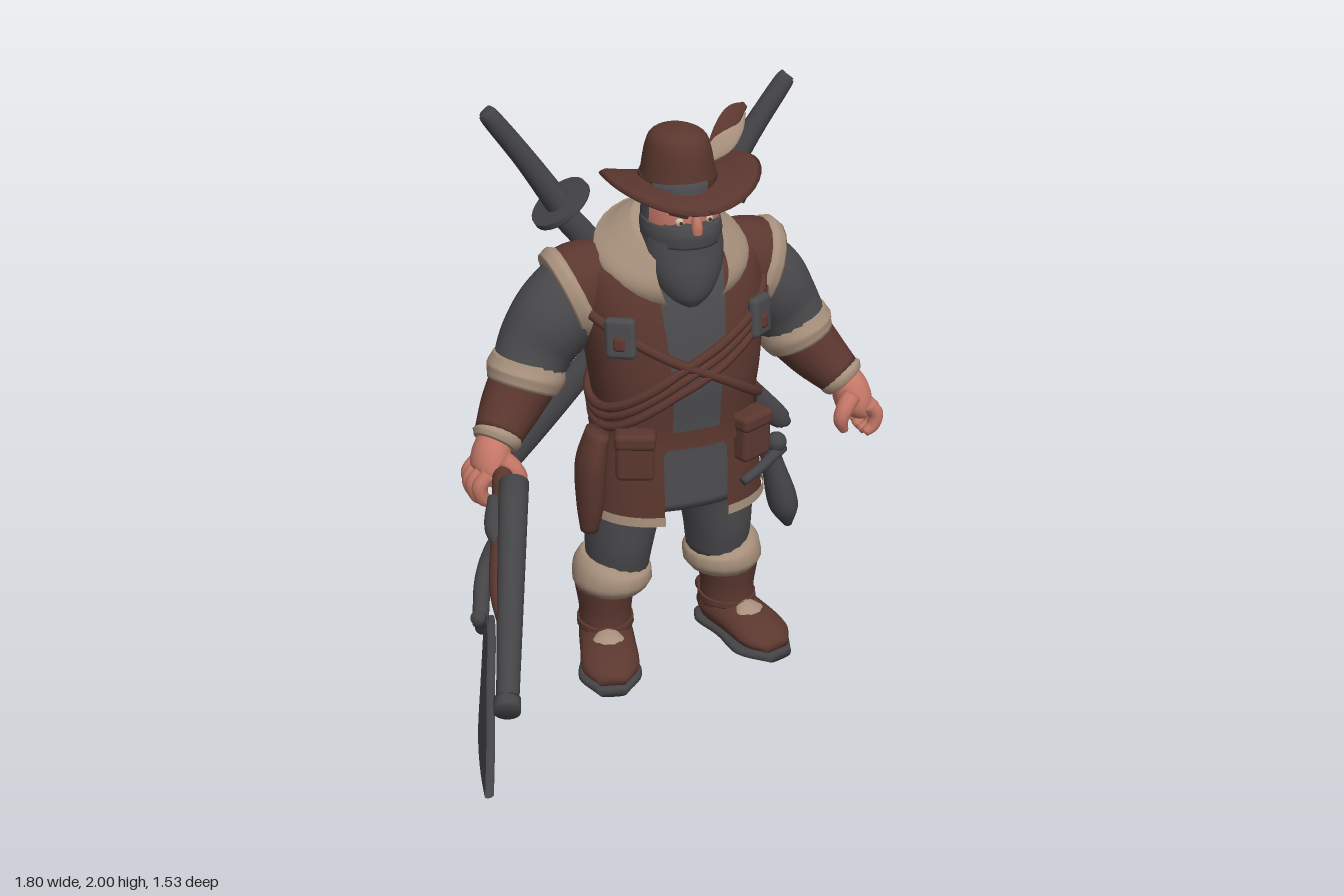
import * as THREE from 'three';
import { mergeVertices } from 'three/addons/utils/BufferGeometryUtils.js';
import { RoundedBoxGeometry } from 'three/addons/geometries/RoundedBoxGeometry.js';

const V = (p) => new THREE.Vector3(...p);
const Y = [0, 1, 0], Z = [0, 0, 1];
const mat = (name, color) => Object.assign(new THREE.MeshStandardMaterial({ color, side: THREE.DoubleSide }), { name });

// Sweeps an ellipse along points; each radius is a number or [across, along ref].
// arc(point, across) gives the start and end angle for open shells, angle 0 facing ref.
function sweep(points, radii, { ref = Z, seg = 18, steps = 5, cap = true, pow = 1, arc = null } = {}) {
  const path = new THREE.CatmullRomCurve3(points.map(V), false, 'catmullrom');
  const size = new THREE.CatmullRomCurve3(radii.map((r) => (r.length ? V([r[0], r[1], 0]) : V([r, r, 0]))), false, 'catmullrom');
  const n = (points.length - 1) * steps, ts = [];
  for (let i = 0; i <= n; i++) ts.push([i / n, 1]);
  if (cap) { ts.unshift([0, 0]); ts.push([1, 0]); }
  const bend = (v) => Math.sign(v) * Math.abs(v) ** pow;
  const pos = [], index = [];
  ts.forEach(([t, k], i) => {
    const c = path.getPoint(t), r = size.getPoint(t), T = path.getTangent(t);
    const side = T.clone().cross(V(ref)).normalize(), up = side.clone().cross(T);
    const [f0, f1] = arc ? arc(c, r.x) : [0, Math.PI * 2];
    for (let j = 0; j <= seg; j++) {
      const f = f0 + (f1 - f0) * j / seg;
      const p = c.clone().addScaledVector(side, k * r.x * bend(Math.sin(f))).addScaledVector(up, k * r.y * bend(Math.cos(f)));
      pos.push(p.x, p.y, p.z);
      if (i && j) {
        const d = i * (seg + 1) + j - 1, a = d - seg - 1;
        index.push(a, a + 1, d + 1, a, d + 1, d);
      }
    }
  });
  let g = new THREE.BufferGeometry();
  g.setAttribute('position', new THREE.Float32BufferAttribute(pos, 3));
  g.setIndex(index);
  g = mergeVertices(g, 1e-5);
  g.computeVertexNormals();
  return g;
}

// Torso cross-sections: height, centre z, half width, half depth
const TORSO = [[0.64, -0.325, 0.315, 0.238], [0.8, -0.32, 0.3, 0.227], [0.97, -0.31, 0.275, 0.21], [1.15, -0.31, 0.295, 0.225],
  [1.35, -0.33, 0.315, 0.215], [1.49, -0.36, 0.3, 0.185], [1.56, -0.36, 0.24, 0.16], [1.62, -0.36, 0.15, 0.12]];
const POW = 0.85;
function torsoAt(y) {
  let i = 0;
  while (i < TORSO.length - 2 && y > TORSO[i + 1][0]) i++;
  const [a, b] = [TORSO[i], TORSO[i + 1]], k = (y - a[0]) / (b[0] - a[0]);
  return a.map((v, j) => v + (b[j] - v) * k);
}
const shell = (ys, grow, opts) => sweep(ys.map((y) => [0, y, torsoAt(y)[1]]),
  ys.map((y) => [torsoAt(y)[2] + grow, torsoAt(y)[3] + grow]), { seg: 40, cap: false, pow: POW, ...opts });
function onTorso(y, f, grow) {
  const [, zc, rx, rz] = torsoAt(y), s = Math.sin(f), c = Math.cos(f);
  return V([(rx + grow) * Math.sign(s) * Math.abs(s) ** POW, y, zc + (rz + grow) * Math.sign(c) * Math.abs(c) ** POW]);
}
// Half width of the coat's front opening
const opening = (c, rx) => {
  const w = c.y < 0.93 ? 0.115 : c.y < 1.1 ? 0.085 : 0.085 + (c.y - 1.1) * 0.1;
  const f = Math.asin(Math.min(0.9, (w / rx) ** (1 / POW)));
  return [f, Math.PI * 2 - f];
};
// The collar parts in front, wider towards the top
const collarGap = (c) => {
  const f = 0.22 + (c.y - 1.51) * 5;
  return [f, Math.PI * 2 - f];
};

export function createModel() {
  const leather = mat('brown leather', 0x5b372f), dark = mat('dark leather', 0x4d2d26), cloth = mat('grey cloth', 0x4b4a4d);
  const metal = mat('dark metal', 0x444447), fur = mat('tan fur', 0xa7907c), skin = mat('skin', 0xc47767), pale = mat('eye', 0xc9c3a8);
  const model = new THREE.Group(), body = new THREE.Group();
  body.name = 'body';
  body.position.x = 0.135;
  model.add(body);
  const add = (name, geo, m, pos = [0, 0, 0], parent = body) => {
    const mesh = new THREE.Mesh(geo, m);
    mesh.name = name;
    mesh.position.set(...pos);
    parent.add(mesh);
    return mesh;
  };
  const ball = (r) => new THREE.SphereGeometry(r, 16, 12);

  // Coat, shirt, hem and belt
  const heights = TORSO.map((s) => s[0]);
  add('shirt', shell([0.68, ...heights.slice(1)], -0.016, { cap: true }), cloth);
  add('coat', shell(heights, 0, { arc: opening }), leather);
  add('coatHem', shell([0.638, 0.655, 0.672], 0.008, { arc: opening }), fur);
  add('belt', shell([0.925, 0.955, 0.985], 0.01), leather);
  for (const s of [1, -1]) {
    const pouch = add('beltPouch', new RoundedBoxGeometry(0.13, 0.16, 0.08, 3, 0.02), leather, [s * 0.21, 0.9, -0.13]);
    pouch.rotation.y = s * 0.4;
    const flap = add('pouchFlap', new RoundedBoxGeometry(0.14, 0.06, 0.09, 3, 0.02), leather, [s * 0.21, 0.965, -0.128]);
    flap.rotation.y = s * 0.4;
    const badge = add('chestPad', new RoundedBoxGeometry(0.105, 0.14, 0.04, 3, 0.018), cloth, onTorso(1.325, s * 0.8, 0.014).toArray());
    badge.rotation.set(-0.1, s * 0.65, 0);
    add('chestPadStud', new RoundedBoxGeometry(0.04, 0.05, 0.03, 3, 0.012), leather, [0, -0.015, 0.014], badge);
  }
  add('hipHolster', sweep([[-0.31, 0.97, -0.22], [-0.335, 0.85, -0.22], [-0.34, 0.7, -0.22], [-0.345, 0.6, -0.22]],
    [[0.035, 0.06], [0.05, 0.075], [0.045, 0.06], [0.03, 0.035]]), leather);

  // Crossed chest straps and ropes
  for (const [s, dy, r] of [[1, 0.035, 0.017], [1, 0, 0.015], [1, -0.04, 0.015], [-1, 0, 0.018]]) {
    const pts = [];
    for (let i = 0; i < 32; i++) {
      const f = i / 32 * Math.PI * 2;
      pts.push(onTorso(1.195 + dy + s * 0.19 * Math.sin(f), f, 0.008));
    }
    add('chestStrap', new THREE.TubeGeometry(new THREE.CatmullRomCurve3(pts, true), 80, r, 7, true), leather);
  }

  // Fur collar
  add('collar', sweep([[0, 1.515, -0.345], [0, 1.55, -0.325], [0, 1.6, -0.305], [0, 1.64, -0.29]],
    [[0.25, 0.23], [0.262, 0.242], [0.2, 0.21], [0.14, 0.175]], { seg: 30, arc: collarGap }), fur);

  // Masked head and face
  const face = [[0, 1.66, -0.26], [0, 1.71, -0.26], [0, 1.77, -0.265]];
  add('mask', sweep([[0, 1.395, -0.17], [0, 1.43, -0.18], [0, 1.5, -0.2], [0, 1.57, -0.225], [0, 1.64, -0.25], [0, 1.71, -0.27], [0, 1.81, -0.28]],
    [[0.03, 0.035], [0.075, 0.07], [0.118, 0.1], [0.135, 0.122], [0.13, 0.147], [0.122, 0.14], [0.11, 0.13]], { seg: 24 }), cloth);
  add('maskBridge', sweep([[0, 1.62, -0.25], [0, 1.66, -0.25], [0, 1.692, -0.25]], [[0.131, 0.148], [0.133, 0.154], [0.128, 0.148]]), cloth);
  add('face', sweep(face, [[0.126, 0.142], [0.126, 0.142], [0.12, 0.14]], { cap: false, arc: () => [-1.3, 1.3] }), skin);
  add('nose', sweep([[0, 1.74, -0.12], [0, 1.7, -0.11], [0, 1.67, -0.112]], [0.012, 0.018, 0.02], { seg: 10 }), skin);
  for (const s of [1, -1]) {
    add('eye', ball(0.015), pale, [s * 0.05, 1.71, -0.136]);
    add('pupil', ball(0.006), dark, [s * 0.05, 1.71, -0.122]);
    add('eyebrow', new RoundedBoxGeometry(0.065, 0.014, 0.02, 2, 0.006), dark, [s * 0.055, 1.738, -0.13]).rotation.set(0, s * 0.35, s * 0.25);
  }

  // Hat with curled brim, band and feather
  const brim = new THREE.LatheGeometry([[0.1, 0], [0.18, -0.002], [0.25, 0], [0.266, 0.012], [0.25, 0.024], [0.18, 0.022], [0.1, 0.026]]
    .map((p) => new THREE.Vector2(...p)), 40);
  const bp = brim.attributes.position;
  for (let i = 0; i < bp.count; i++) {
    const x = bp.getX(i), z = bp.getZ(i);
    bp.setXYZ(i, x, bp.getY(i) + 0.65 * x * x - (z > 0 ? 0.4 : 0.8) * z * z, z * 0.94);
  }
  brim.computeVertexNormals();
  add('hatBrim', brim, leather, [0.015, 1.776, -0.29]);
  add('hatCrown', sweep([[0.01, 1.77, -0.3], [0.01, 1.83, -0.3], [0.01, 1.91, -0.3], [0.01, 1.95, -0.3], [0.01, 1.972, -0.3]],
    [[0.13, 0.14], [0.12, 0.133], [0.105, 0.122], [0.085, 0.1], [0.035, 0.05]], { seg: 28 }), leather);
  add('hatBand', sweep([[0.01, 1.795, -0.3], [0.01, 1.82, -0.3]], [[0.131, 0.143], [0.126, 0.138]], { seg: 28 }), dark);
  const tilt = { ref: [0, 0.6, 1] };
  add('featherTop', sweep([[0.1, 1.85, -0.275], [0.16, 1.93, -0.295], [0.215, 1.975, -0.325], [0.275, 1.985, -0.37]],
    [[0.01, 0.005], [0.03, 0.006], [0.032, 0.006], [0.012, 0.004]], tilt), leather);
  add('featherBase', sweep([[0.1, 1.855, -0.272], [0.16, 1.9, -0.28], [0.215, 1.94, -0.305], [0.265, 1.965, -0.35]],
    [[0.018, 0.008], [0.038, 0.009], [0.03, 0.009], [0.006, 0.006]], tilt), fur);

  // Arms and hands
  for (const s of [1, -1]) {
    const P = (list) => list.map(([x, y, z]) => [s * x, y, z]);
    const part = (name, pts, radii, m, opts) => add(name, sweep(P(pts), radii, opts), m);
    part('shoulderCap', [[0.16, 1.43, -0.39], [0.27, 1.43, -0.395], [0.34, 1.395, -0.4]], [0.12, [0.152, 0.138], [0.166, 0.142]], leather);
    part('shoulderTrim', [[0.31, 1.41, -0.4], [0.33, 1.402, -0.4], [0.365, 1.388, -0.4]], [[0.162, 0.142], [0.176, 0.153], [0.164, 0.143]], fur);
    part('sleeve', [[0.3, 1.42, -0.4], [0.38, 1.33, -0.41], [0.44, 1.24, -0.42], [0.49, 1.15, -0.405]], [0.14, 0.144, 0.134, 0.12], cloth);
    part('elbowCuff', [[0.478, 1.19, -0.41], [0.493, 1.14, -0.405], [0.512, 1.095, -0.395]], [0.122, 0.136, 0.122], fur);
    part('bracer', [[0.5, 1.12, -0.4], [0.565, 1.04, -0.365], [0.632, 0.965, -0.31]], [0.115, 0.102, 0.08], leather);
    part('wristTrim', [[0.622, 0.98, -0.32], [0.632, 0.966, -0.31], [0.645, 0.95, -0.3]], [0.074, 0.086, 0.074], fur);
    part('palm', [[0.64, 0.97, -0.31], [0.66, 0.92, -0.29], [0.672, 0.87, -0.28], [0.69, 0.83, -0.275]],
      [[0.055, 0.055], [0.065, 0.075], [0.062, 0.08], [0.03, 0.065]], skin);
    for (let i = 0; i < 4; i++) {
      const z = -0.335 + i * 0.04, d = i % 3 ? 0.008 : 0;
      part('finger', [[0.695, 0.885, z], [0.726 + d, 0.845, z], [0.718 + d, 0.8 - d, z], [0.685, 0.775 - d, z]], [0.026, 0.027, 0.024, 0.017], skin, { seg: 10 });
    }
    part('thumb', [[0.64, 0.92, -0.235], [0.605, 0.885, -0.215], [0.59, 0.845, -0.21], [0.605, 0.8, -0.215]], [0.035, 0.032, 0.027, 0.016], skin, { seg: 10 });

    // Trousers, boots and feet
    part('trouserLeg', [[0.19, 0.37, -0.37], [0.185, 0.48, -0.36], [0.17, 0.62, -0.35], [0.145, 0.76, -0.33], [0.13, 0.9, -0.32]],
      [[0.11, 0.125], [0.12, 0.142], [0.133, 0.147], [0.125, 0.15], [0.1, 0.13]], cloth);
    part('bootCuff', [[0.21, 0.275, -0.365], [0.21, 0.31, -0.367], [0.21, 0.36, -0.37], [0.205, 0.4, -0.37]],
      [[0.115, 0.125], [0.14, 0.15], [0.135, 0.15], [0.11, 0.125]], fur);
    const foot = new THREE.Group();
    foot.name = 'boot';
    foot.position.set(s * 0.235, 0, -0.375);
    foot.rotation.y = s * 0.27;
    body.add(foot);
    const shoe = (name, pts, radii, m, opts) => add(name, sweep(pts, radii, opts), m, [0, 0, 0], foot);
    shoe('bootShaft', [[0, 0.07, 0], [0, 0.14, 0], [0, 0.2, 0], [0, 0.3, 0]], [[0.09, 0.1], [0.093, 0.105], [0.095, 0.105], [0.11, 0.12]], leather);
    shoe('bootFoot', [[0, 0.085, -0.1], [0, 0.085, -0.03], [0, 0.08, 0.1], [0, 0.064, 0.22], [0, 0.048, 0.295]],
      [[0.06, 0.05], [0.092, 0.07], [0.1, 0.062], [0.1, 0.046], [0.05, 0.022]], leather, { ref: Y });
    shoe('sole', [[0, 0.018, -0.115], [0, 0.018, -0.06], [0, 0.018, 0.06], [0, 0.018, 0.2], [0, 0.018, 0.31]],
      [[0.06, 0.018], [0.09, 0.018], [0.09, 0.018], [0.112, 0.018], [0.05, 0.018]], metal, { ref: Y, pow: 0.6 });
    shoe('instepPatch', [[0, 0.115, 0.09], [0, 0.1, 0.13], [0, 0.083, 0.17]], [[0.045, 0.04], [0.068, 0.045], [0.045, 0.038]], fur, { ref: Y });
    shoe('ankleStrap', [[0, 0.125, 0], [0, 0.15, 0]], [[0.102, 0.113], [0.101, 0.112]], leather);
    add('heelSpur', ball(0.032), leather, [0, 0.11, -0.135], foot);
  }

  // Two crossed sheathed swords on the back
  for (const s of [1, -1]) {
    const z = s > 0 ? -0.6 : -0.62;
    const at = (x, y) => [s * x, y, z];
    add('scabbard', sweep([at(0.29, 1.61), at(0.15, 1.44), at(0, 1.265), at(-0.26, 0.97), at(-0.52, 0.695), at(-0.575, 0.645)],
      [[0.045, 0.035], [0.048, 0.034], [0.048, 0.032], [0.05, 0.03], [0.044, 0.028], [0.018, 0.02]]), metal);
    add('swordGrip', sweep([at(0.27, 1.6), at(0.4, 1.8), at(0.515, 1.96), at(0.535, 1.985)], [0.047, 0.038, 0.033, 0.022]), metal);
    add('swordGuard', sweep([at(0.277, 1.622), at(0.29, 1.64)], [0.112, 0.11], { seg: 28 }), metal);
  }
  add('swordKnot', ball(0.06), metal, [0, 1.25, -0.61]);

  // Hip knife
  add('knifeSheath', sweep([[0.3, 0.83, -0.2], [0.33, 0.72, -0.2], [0.37, 0.57, -0.2], [0.39, 0.48, -0.2]],
    [[0.03, 0.03], [0.04, 0.045], [0.052, 0.06], [0.015, 0.02]]), metal);
  add('knifeGuard', sweep([[0.16, 0.755, -0.075], [0.24, 0.785, -0.1], [0.35, 0.8, -0.18]], [0.016, 0.018, 0.022]), metal);
  add('knifePommel', ball(0.036), metal, [0.325, 0.83, -0.17]);

  // Musket: barrel, stock, lock and blade
  const gun = new THREE.Group();
  gun.name = 'musket';
  model.add(gun);
  const piece = (name, pts, radii, m, opts = {}) => add(name, sweep(pts, radii, { ref: Y, ...opts }), m, [0, 0, 0], gun);
  piece('barrel', [[-0.51, 0.9, -0.1], [-0.65, 0.72, 0.27], [-0.785, 0.545, 0.63]], [0.05, 0.043, 0.035], metal);
  piece('muzzleRing', [[-0.775, 0.56, 0.6], [-0.79, 0.54, 0.64]], [0.042, 0.042], metal);
  piece('stock', [[-0.295, 0.89, -0.75], [-0.35, 0.89, -0.62], [-0.43, 0.9, -0.44], [-0.5, 0.885, -0.25], [-0.57, 0.81, -0.03], [-0.65, 0.69, 0.16], [-0.695, 0.635, 0.32]],
    [[0.045, 0.108], [0.045, 0.098], [0.04, 0.065], [0.035, 0.038], [0.04, 0.048], [0.035, 0.038], [0.015, 0.012]], leather);
  piece('lock', [[-0.58, 0.86, -0.1], [-0.61, 0.81, 0], [-0.62, 0.77, 0.07]], [0.02, 0.035, 0.015], metal);
  piece('bladeGrip', [[-0.58, 0.79, -0.02], [-0.63, 0.69, -0.02], [-0.67, 0.62, 0.03], [-0.72, 0.56, 0.16]], [0.022, 0.026, 0.028, 0.026], metal);
  piece('bladeGuard', [[-0.69, 0.485, 0.07], [-0.7, 0.55, 0.12], [-0.74, 0.61, 0.2]], [0.022, 0.018, 0.024], metal);
  const loop = add('triggerGuard', new THREE.TorusGeometry(0.045, 0.016, 8, 20), metal, [-0.6, 0.69, 0.03], gun);
  loop.rotation.y = Math.PI / 2 - 0.25;
  const outline = new THREE.Shape();
  outline.moveTo(0.13, 0.56);
  outline.quadraticCurveTo(0.22, 0.575, 0.4, 0.475);
  outline.quadraticCurveTo(0.6, 0.42, 0.757, 0.335);
  outline.quadraticCurveTo(0.5, 0.29, 0.38, 0.36);
  outline.quadraticCurveTo(0.26, 0.44, 0.13, 0.52);
  const blade = new THREE.ExtrudeGeometry(outline, { depth: 0.012, bevelEnabled: true, bevelSize: 0.004, bevelThickness: 0.008, bevelSegments: 1, curveSegments: 10 });
  blade.rotateY(-Math.PI / 2);
  const q = blade.attributes.position;
  for (let i = 0; i < q.count; i++) q.setX(i, q.getX(i) - 0.68 - 0.25 * q.getZ(i) + 0.25 * (q.getY(i) - 0.4));
  blade.computeVertexNormals();
  add('blade', blade, metal, [0, 0, 0], gun);
  return model;
}
